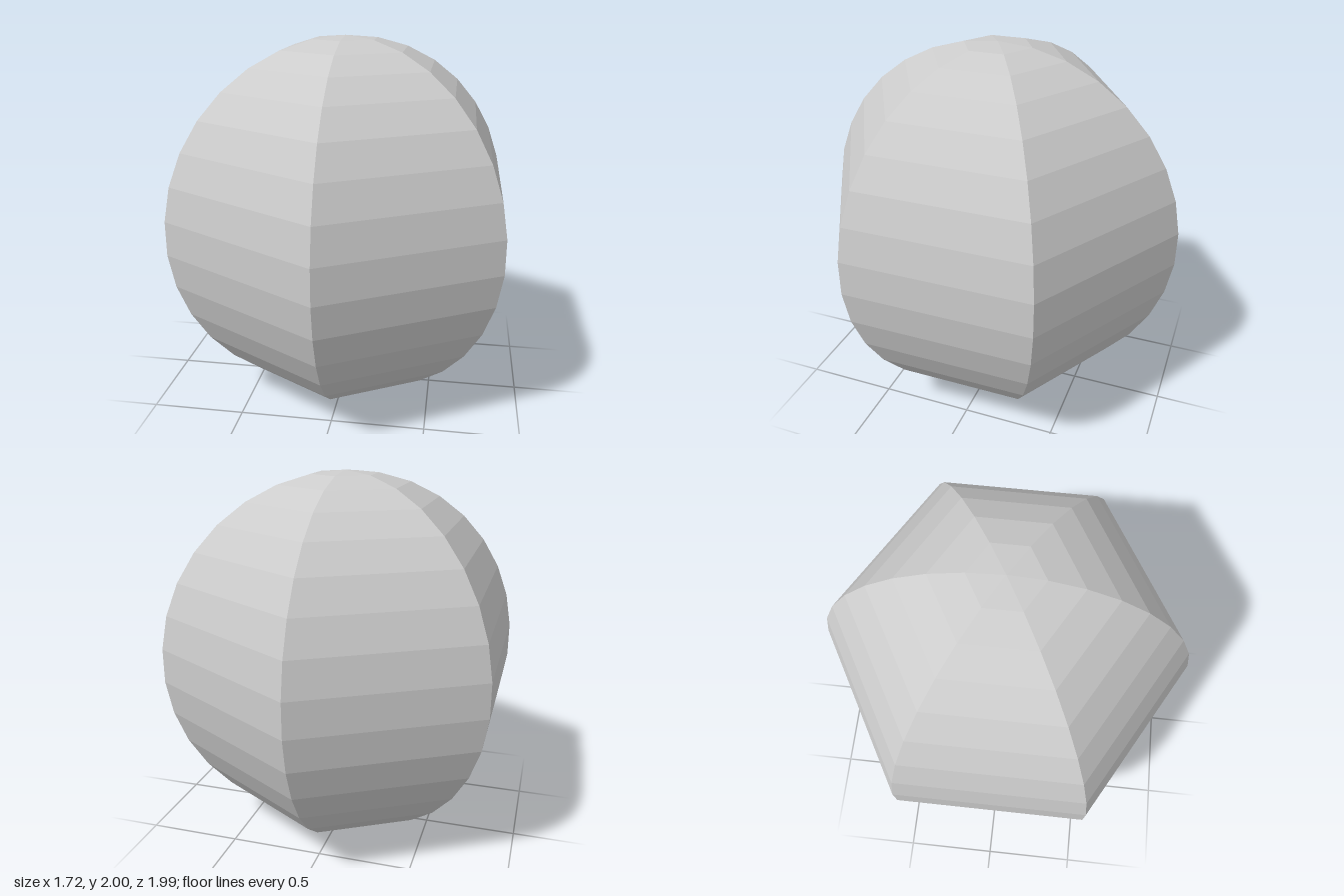
import * as THREE from 'three';

export function createModel() {
  const group = new THREE.Group();
  group.name = 'sixSidedBall';

  // Ball with six flat-sided gores and seventeen bands, one ridge facing the front
  const geometry = new THREE.SphereGeometry(1, 6, 17, Math.PI / 6);
  const material = new THREE.MeshStandardMaterial({ color: 0xcccccc, flatShading: true });
  const ball = new THREE.Mesh(geometry, material);
  ball.name = 'ball';
  ball.position.y = 1;
  group.add(ball);

  return group;
}
